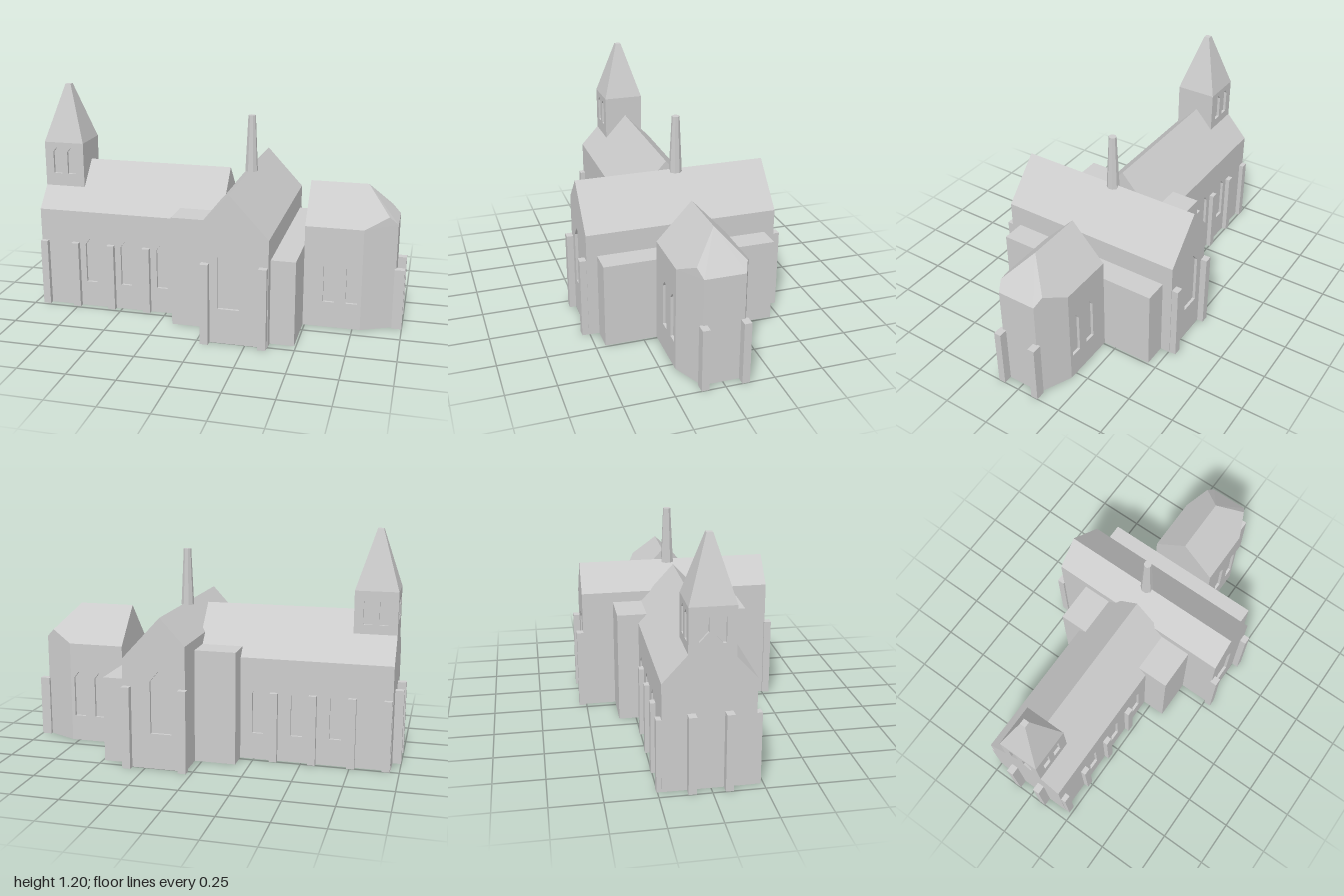
import * as THREE from 'three';
import { ConvexGeometry } from 'three/addons/geometries/ConvexGeometry.js';

const stone = new THREE.MeshStandardMaterial({ color: 0xcccccc });
const D = 0.015; // depth of the window niches

function add(parent, name, geometry, x = 0, y = 0, z = 0, turn = 0) {
  const mesh = new THREE.Mesh(geometry, stone);
  mesh.name = name;
  mesh.position.set(x, y, z);
  mesh.rotation.y = turn;
  parent.add(mesh);
  return mesh;
}

// Box given by its limits
function block(parent, name, x0, x1, y0, y1, z0, z1) {
  return add(parent, name, new THREE.BoxGeometry(x1 - x0, y1 - y0, z1 - z0),
    (x0 + x1) / 2, (y0 + y1) / 2, (z0 + z1) / 2);
}

const polygon = (pts) => new THREE.Shape(pts.map(([x, y]) => new THREE.Vector2(x, y)));
const prism = (shape, depth) => new THREE.ExtrudeGeometry(shape, { depth, bevelEnabled: false });

// Wall slab with pointed window openings, outer face on z = 0.
// Each window is [centre, width, sill, shoulder, peak].
function wall(outline, windows) {
  const shape = polygon(outline);
  for (const [c, w, sill, shoulder, peak] of windows) {
    shape.holes.push(polygon([[c - w / 2, sill], [c - w / 2, shoulder],
      [c - w * 0.1, peak], [c + w * 0.1, peak], [c + w / 2, shoulder], [c + w / 2, sill]]));
  }
  return prism(shape, D).translate(0, 0, -D);
}

// Gabled hall running along x, with window walls on both long sides
function hall(name, x0, x1, half, eave, ridge, centres) {
  const group = new THREE.Group();
  group.name = name;
  const i = half - D;
  const section = polygon([[-i, 0], [i, 0], [i, eave], [half, eave], [0, ridge], [-half, eave], [-i, eave]]);
  add(group, name + 'Core', prism(section, x1 - x0).rotateY(Math.PI / 2), x0);
  for (const s of [1, -1]) {
    const a = Math.min(s * x0, s * x1), b = Math.max(s * x0, s * x1);
    const windows = centres.map((c) => [s * c, 0.06, 0.14, 0.355, 0.387]);
    add(group, name + 'Wall', wall([[a, 0], [b, 0], [b, eave], [a, eave]], windows),
      0, 0, s * half, s > 0 ? 0 : Math.PI);
  }
  return group;
}

// Faceted tapering column
function taper(rTop, rBottom, height, sides, turn) {
  const g = new THREE.CylinderGeometry(rTop, rBottom, height, sides).rotateY(turn).toNonIndexed();
  g.computeVertexNormals();
  return g;
}

export function createModel() {
  const church = new THREE.Group();
  church.name = 'church';

  // Nave and its buttresses
  const nave = hall('nave', -0.955, 0.055, 0.22, 0.54, 0.78, [-0.672, -0.472, -0.27]);
  nave.position.z = -0.01;
  church.add(nave);
  for (const x of [-0.933, -0.755, -0.555, -0.355]) {
    block(church, 'naveButtress', x - 0.02, x + 0.02, 0, 0.365, 0.2, 0.237);
    block(church, 'naveButtress', x - 0.02, x + 0.02, 0, 0.365, -0.255, -0.22);
  }
  for (const z of [-0.094, 0.08]) {
    block(church, 'westButtress', -1, -0.95, 0, 0.387, z - 0.019, z + 0.019);
  }

  // Bell tower with windows on three sides, and its spire
  const tower = new THREE.Group();
  tower.name = 'tower';
  tower.position.set(-0.845, 0, 0);
  church.add(tower);
  const t = 0.11;
  block(tower, 'towerCore', -t + D, t, 0.5, 0.89, -t + D, t - D);
  for (const turn of [0, Math.PI, -Math.PI / 2]) {
    const windows = [-0.04, 0.04].map((c) => [c, 0.046, 0.718, 0.838, 0.86]);
    add(tower, 'towerWall', wall([[-t, 0.56], [t, 0.56], [t, 0.89], [-t, 0.89]], windows),
      t * Math.sin(turn), 0, t * Math.cos(turn), turn);
  }
  const r = Math.SQRT2;
  add(tower, 'spire', taper(0.015 * r, t * r, 0.305, 4, Math.PI / 4), 0, 1.0425, 0);

  // Transept with uneven eaves and a window in each gable
  const gable = [[0.037, 0], [0.365, 0], [0.365, 0.563], [0.165, 0.78], [0.037, 0.642]];
  const end = 0.505;
  add(church, 'transept', prism(polygon(gable), 2 * (end - D)), 0, 0, -end + D);
  const bigWindow = [0.165, 0.11, 0.185, 0.455, 0.508];
  add(church, 'frontGable', wall(gable, [bigWindow]), 0, 0, end);
  const mirrored = gable.map(([x, y]) => [-x, y]).reverse();
  add(church, 'backGable', wall(mirrored, [[-0.165, ...bigWindow.slice(1)]]), 0, 0, -end, Math.PI);
  for (const x of [0.047, 0.341]) {
    for (const s of [1, -1]) {
      block(church, 'transeptButtress', x - 0.021, x + 0.021, 0, 0.425, s * 0.52 - 0.019, s * 0.52 + 0.019);
    }
  }

  // Small roof turret at the crossing
  add(church, 'roofTurret', taper(0.02, 0.034, 0.3, 8, Math.PI / 8), 0.165, 0.915, -0.025);

  // Flat-roofed aisles either side of the transept
  block(church, 'westAisle', -0.178, 0.04, 0, 0.588, -0.34, 0.338);
  block(church, 'eastAisle', 0.36, 0.49, 0, 0.445, -0.452, 0.45);

  // Chancel and tapering apse
  church.add(hall('chancel', 0.49, 0.79, 0.18, 0.545, 0.74, [0.622, 0.74]));
  const corners = [new THREE.Vector3(0.79, 0.74, 0)];
  for (const s of [1, -1]) {
    for (const [x, y, z] of [[0.79, 0, 0.18], [0.79, 0.545, 0.18], [0.91, 0.606, 0.1235],
      [0.955, 0.563, 0.103], [0.955, 0, 0.103]]) {
      corners.push(new THREE.Vector3(x, y, s * z));
    }
  }
  add(church, 'apse', new ConvexGeometry(corners));
  for (const s of [1, -1]) {
    block(church, 'apseButtress', 0.948, 1, 0, 0.325, s * 0.102 - 0.019, s * 0.102 + 0.019);
  }

  return church;
}
